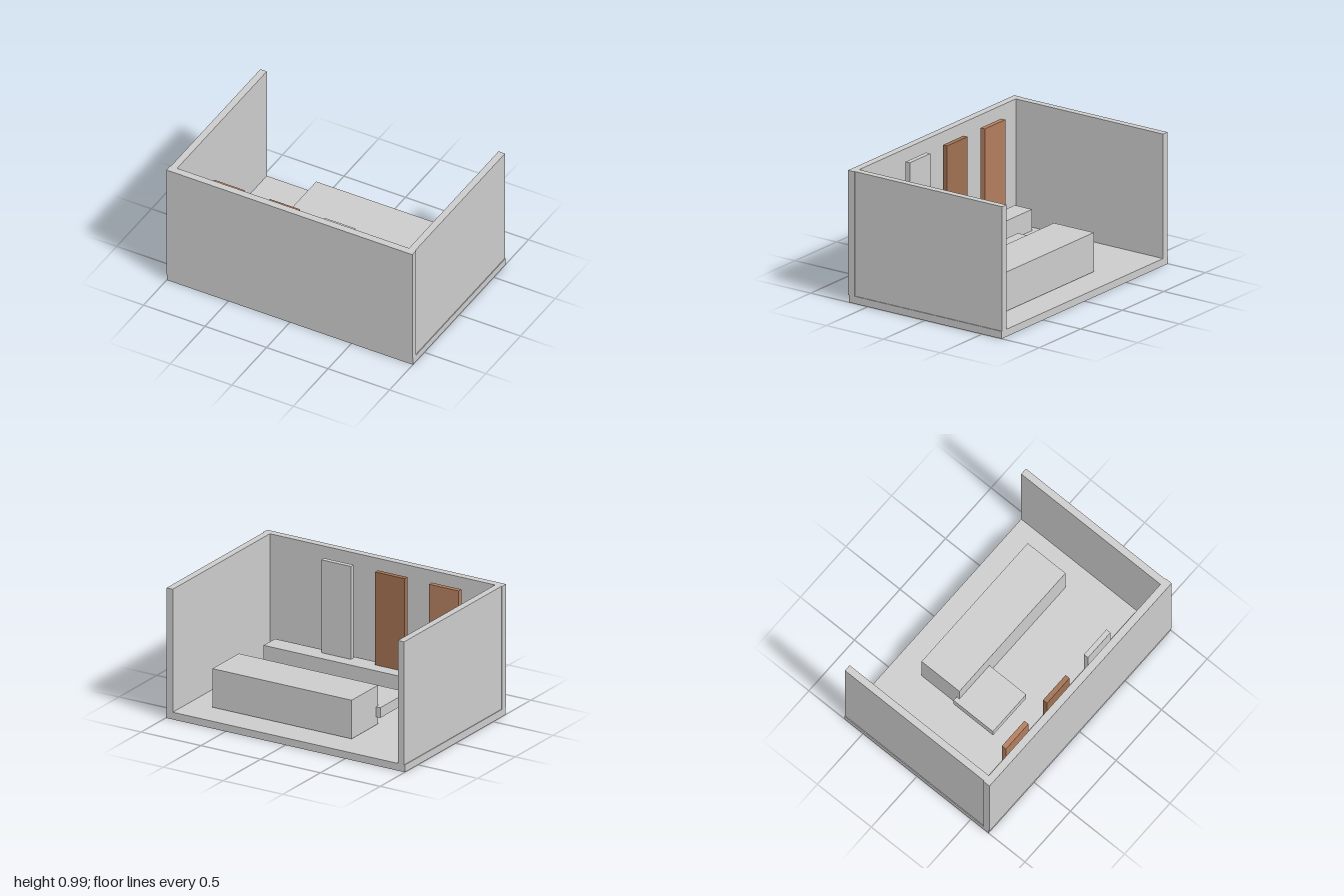
import * as THREE from 'three';

// Box given by its extents along each axis
function addBox(group, name, [x0, x1], [y0, y1], [z0, z1], color = 0xcccccc) {
  const mesh = new THREE.Mesh(
    new THREE.BoxGeometry(x1 - x0, y1 - y0, z1 - z0),
    new THREE.MeshStandardMaterial({ color })
  );
  mesh.position.set((x0 + x1) / 2, (y0 + y1) / 2, (z0 + z1) / 2);
  mesh.name = name;
  group.add(mesh);
}

export function createModel() {
  const room = new THREE.Group();
  room.name = 'displayRoom';
  const floorTop = 0.055, wallTop = 0.988, benchTop = 0.215;

  // Shell: floor, front wall and two slightly inset side walls; the back is open
  addBox(room, 'floor', [-1, 1], [0, floorTop], [-0.672, 0.665]);
  addBox(room, 'frontWall', [-1, 1], [floorTop, wallTop], [0.617, 0.672]);
  addBox(room, 'leftWall', [0.942, 0.994], [floorTop, wallTop], [-0.672, 0.62]);
  addBox(room, 'rightWall', [-0.994, -0.942], [floorTop, wallTop], [-0.672, 0.62]);

  // Counter and the low slab beside it
  addBox(room, 'counter', [-0.415, 0.75], [floorTop + 0.005, 0.353], [-0.45, -0.1]);
  addBox(room, 'slab', [-0.45, -0.085], [0.12, 0.197], [-0.125, 0.24]);

  // Bench along the front wall with three upright panels standing on it
  addBox(room, 'bench', [-0.883, 0.878], [floorTop, benchTop], [0.432, 0.583]);
  const panels = [['leftPanel', 0.208, 0xcccccc], ['middlePanel', -0.241, 0x9f7051], ['rightPanel', -0.693, 0xb27d5e]];
  for (const [name, x, color] of panels) {
    addBox(room, name, [x, x + 0.247], [benchTop, 0.92], [0.528, 0.565], color);
  }
  return room;
}
